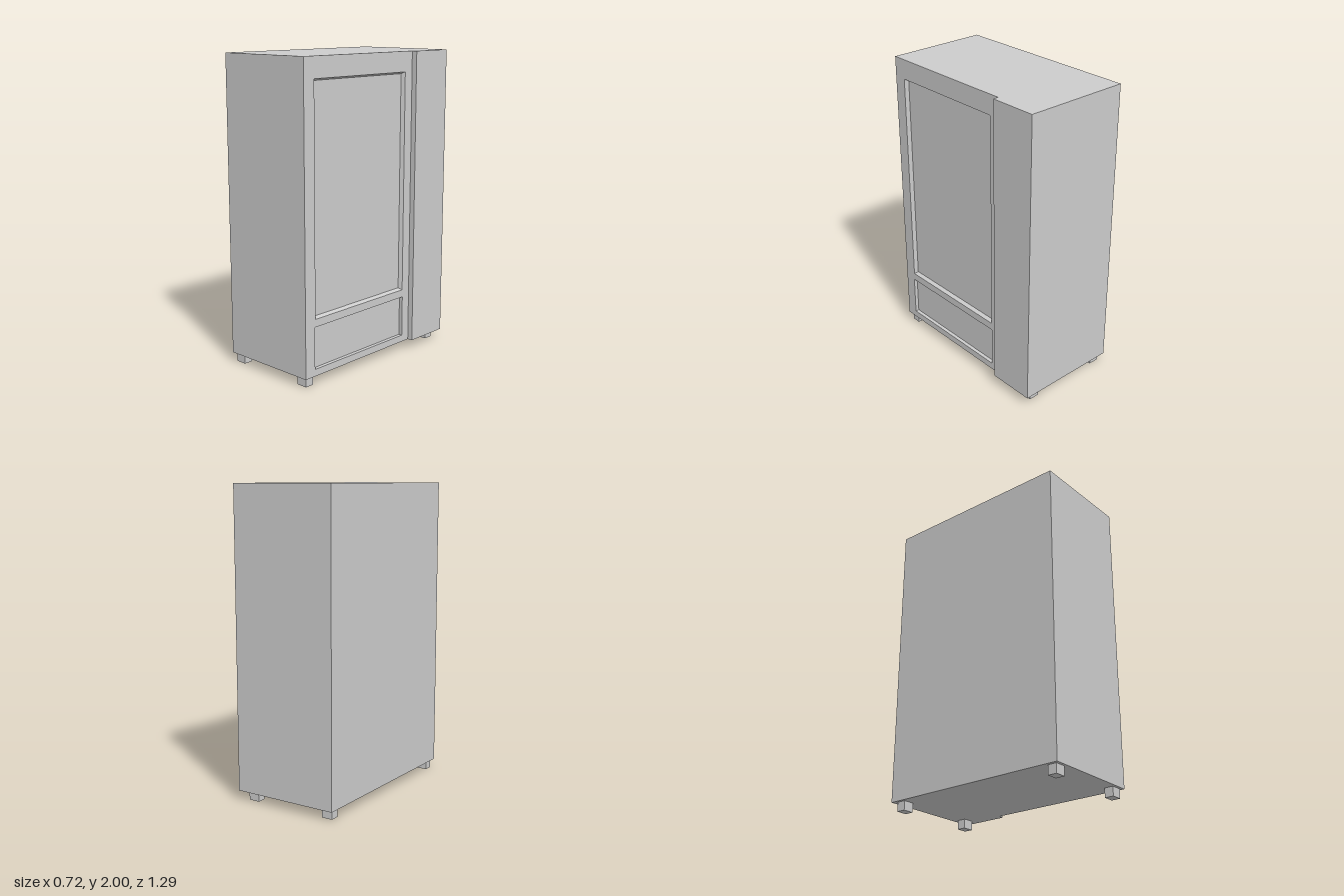
import * as THREE from 'three';

const DEPTH = 0.025;                 // recess depth of window and tray
const FRONT = 0.32;                  // door plane (the panelled side faces +x)
const BACK = -0.36;
const Z = 0.645, BASE = 0.06, TOP = 2;
const COLUMN_Z = -0.33, COLUMN_X = 0.356;

const material = new THREE.MeshStandardMaterial({ color: 0xcccccc, flatShading: true });

// Box given by its limits on each axis
function box(name, [x0, x1], [y0, y1], [z0, z1]) {
  const mesh = new THREE.Mesh(new THREE.BoxGeometry(x1 - x0, y1 - y0, z1 - z0), material);
  mesh.position.set((x0 + x1) / 2, (y0 + y1) / 2, (z0 + z1) / 2);
  mesh.name = name;
  return mesh;
}

// Counter-clockwise corners of a rectangle on the door; a = -z, b = y
function corners([a0, b0, a1, b1], inset = 0) {
  const i = inset;
  return [[a0 + i, b0 + i], [a1 - i, b0 + i], [a1 - i, b1 - i], [a0 + i, b1 - i]]
    .map(([a, b]) => new THREE.Vector2(a, b));
}

// Turns door-plane geometry to face +x and seats it on the cabinet
function onDoor(name, geometry) {
  geometry.rotateY(Math.PI / 2).translate(FRONT - DEPTH, 0, 0);
  const mesh = new THREE.Mesh(geometry, material);
  mesh.name = name;
  return mesh;
}

// Four sloping strips running from the door surface down to the pane
function slopedSurround(rect, inset) {
  const outer = corners(rect), inner = corners(rect, inset);
  const pos = [];
  for (let i = 0; i < 4; i++) {
    const j = (i + 1) % 4;
    const o0 = [outer[i].x, outer[i].y, DEPTH], o1 = [outer[j].x, outer[j].y, DEPTH];
    const n0 = [inner[i].x, inner[i].y, 0], n1 = [inner[j].x, inner[j].y, 0];
    pos.push(...o0, ...o1, ...n1, ...o0, ...n1, ...n0);
  }
  const geometry = new THREE.BufferGeometry();
  geometry.setAttribute('position', new THREE.Float32BufferAttribute(pos, 3));
  geometry.computeVertexNormals();
  return geometry;
}

export function createModel() {
  const group = new THREE.Group();
  group.name = 'vendingCabinet';

  // Cabinet body; its +x face is the floor of both recesses
  group.add(box('cabinet', [BACK, FRONT - DEPTH], [BASE, TOP], [-Z, Z]));

  // Raised control column beside the door
  group.add(box('controlColumn', [FRONT - DEPTH, COLUMN_X], [BASE, TOP], [-Z, COLUMN_Z]));

  // Door frame with window and tray openings
  const windowRect = [-0.56, 0.425, 0.262, 1.87];
  const trayRect = [-0.565, 0.105, 0.265, 0.375];
  const door = new THREE.Shape(corners([-Z, BASE, -COLUMN_Z, TOP]));
  for (const rect of [windowRect, trayRect]) {
    door.holes.push(new THREE.Path(corners(rect).reverse()));
  }
  group.add(onDoor('doorFrame', new THREE.ExtrudeGeometry(door, { depth: DEPTH, bevelEnabled: false })));

  // Sloped edge around the window
  group.add(onDoor('windowSurround', slopedSurround(windowRect, 0.012)));

  // Four square feet
  for (const x of [-0.302, 0.262]) {
    for (const z of [-0.58, 0.595]) {
      group.add(box('foot', [x - 0.037, x + 0.037], [0, BASE], [z - 0.03, z + 0.03]));
    }
  }
  return group;
}
